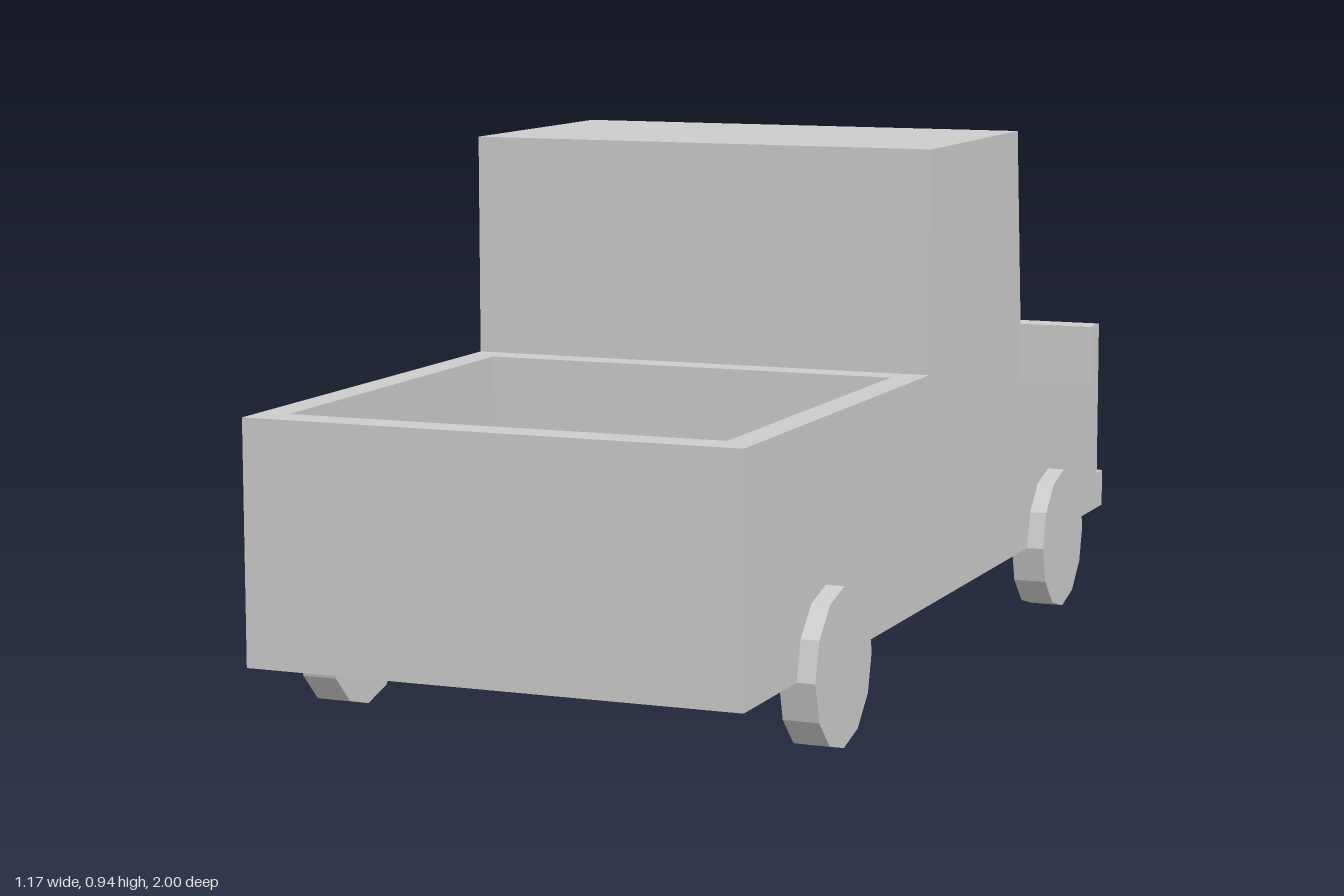
import * as THREE from 'three';

const material = new THREE.MeshStandardMaterial({ color: 0xcccccc, flatShading: true });
const HALF = 0.432, BASE = 0.135, RIM = 0.545, CAB_BACK = 0.12;

function add(parent, name, geometry, x = 0, y = 0, z = 0) {
  const mesh = new THREE.Mesh(geometry, material);
  mesh.name = name;
  mesh.position.set(x, y, z);
  parent.add(mesh);
  return mesh;
}

function rectangle(PathType, x0, y0, x1, y1) {
  return new PathType([[x0, y0], [x1, y0], [x1, y1], [x0, y1]].map(p => new THREE.Vector2(...p)));
}

// Side profile (z, y) extruded across the full width
function sideExtrusion(points) {
  const shape = new THREE.Shape(points.map(p => new THREE.Vector2(...p)));
  return new THREE.ExtrudeGeometry(shape, { depth: 2 * HALF, bevelEnabled: false })
    .translate(0, 0, -HALF)
    .rotateY(-Math.PI / 2);
}

// Box whose -z face is scaled down about its centre
function taperedBox(w, h, d, scaleX, scaleY) {
  const geometry = new THREE.BoxGeometry(w, h, d);
  const p = geometry.attributes.position;
  for (let i = 0; i < p.count; i++) {
    if (p.getZ(i) < 0) p.setXY(i, p.getX(i) * scaleX, p.getY(i) * scaleY);
  }
  geometry.computeVertexNormals();
  return geometry;
}

export function createModel() {
  const truck = new THREE.Group();
  truck.name = 'pickupTruck';

  // Cab, sloped windscreen, bonnet and stepped bumper
  add(truck, 'cabAndBonnet', sideExtrusion([
    [CAB_BACK, BASE], [CAB_BACK, 0.938], [-0.387, 0.938], [-0.425, 0.513],
    [-0.96, 0.513], [-0.96, 0.207], [-1, 0.207], [-1, BASE],
  ]));

  // Open cargo bed: walls around a recessed floor
  const walls = rectangle(THREE.Shape, -HALF, -1, HALF, -CAB_BACK);
  walls.holes.push(rectangle(THREE.Path, -0.38, -0.938, 0.38, -0.175));
  const bed = new THREE.ExtrudeGeometry(walls, { depth: RIM - BASE, bevelEnabled: false });
  add(truck, 'bedWalls', bed.rotateX(-Math.PI / 2), 0, BASE, 0);
  const floorTop = 0.295;
  add(truck, 'bedFloor', new THREE.BoxGeometry(0.76, floorTop - BASE, 0.763),
    0, (floorTop + BASE) / 2, 0.5565);

  // Wheels and wing mirrors on both sides
  const wheel = new THREE.CylinderGeometry(0.134, 0.134, 0.062, 12).rotateZ(Math.PI / 2);
  const mirror = taperedBox(0.142, 0.11, 0.045, 0.7, 0.7);
  for (const [side, s] of [['left', 1], ['right', -1]]) {
    add(truck, side + 'BedWheel', wheel, s * 0.433, 0.135, 0.637);
    add(truck, side + 'BonnetWheel', wheel, s * 0.433, 0.135, -0.613);
    add(truck, side + 'Mirror', mirror, s * 0.516, 0.525, -0.395);
  }
  return truck;
}
